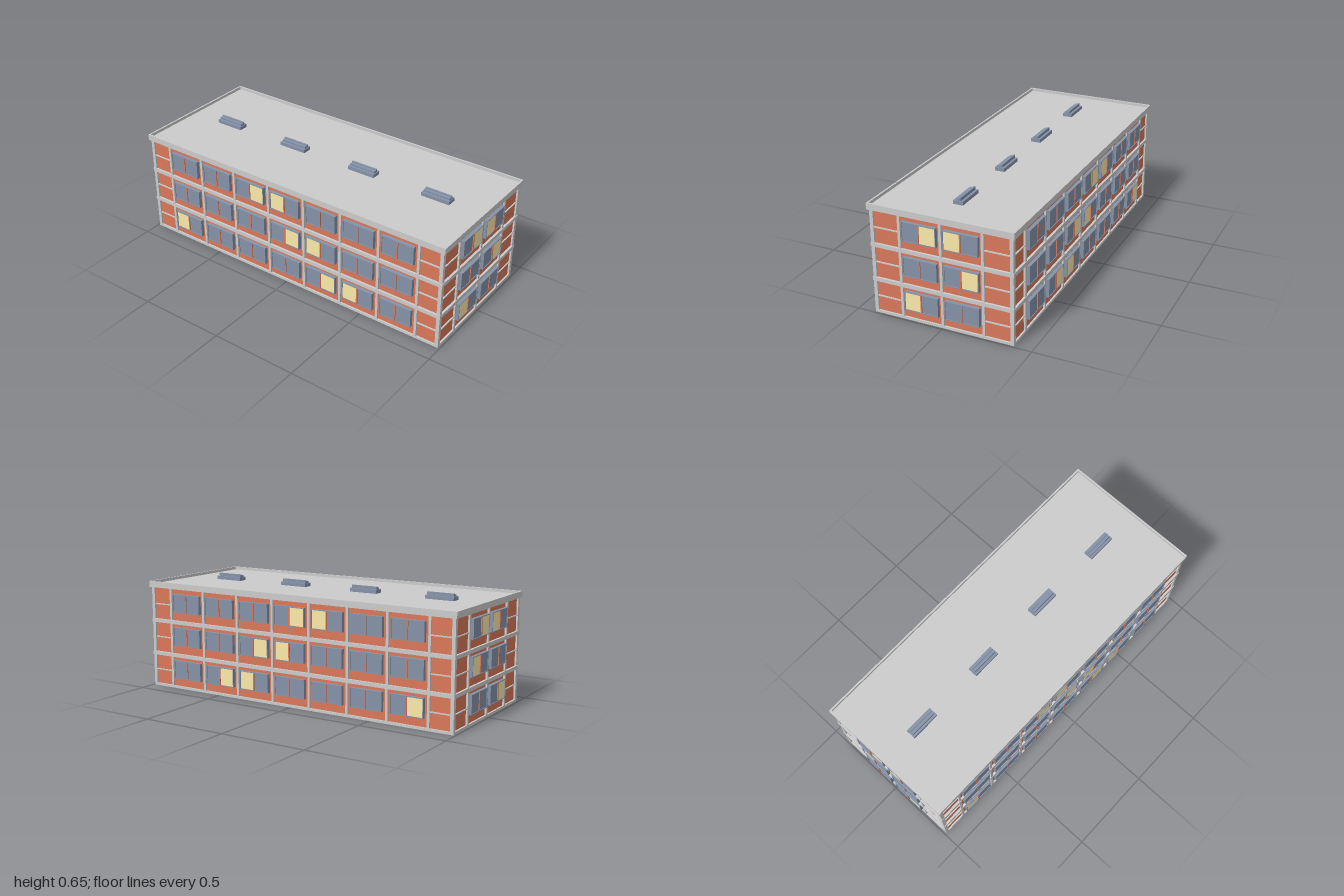
import * as THREE from 'three';

const mat = (color) => new THREE.MeshStandardMaterial({ color });
const MATS = {
  grey: mat(0xcccccc), brick: mat(0xd9785a), slate: mat(0x8592a8), lit: mat(0xfbeaa8),
};
const HALF_X = 0.99, HALF_Z = 0.4, INSET = 0.01;
const FLOOR_H = 0.197, WALL_TOP = 0.6, WIN_W = 0.194, WIN_H = 0.107;

function box(parent, name, material, w, h, d, x, y, z) {
  const mesh = new THREE.Mesh(new THREE.BoxGeometry(w, h, d), MATS[material]);
  mesh.name = name;
  mesh.position.set(x, y, z);
  parent.add(mesh);
  return mesh;
}

// Rectangular ring of outer size w x h and rim t, extruded along +z
function ringGeometry(w, h, t, depth) {
  const rect = (P, a, b) => new P([
    new THREE.Vector2(-a, -b), new THREE.Vector2(a, -b),
    new THREE.Vector2(a, b), new THREE.Vector2(-a, b),
  ]);
  const shape = rect(THREE.Shape, w / 2, h / 2);
  shape.holes.push(rect(THREE.Path, w / 2 - t, h / 2 - t));
  return new THREE.ExtrudeGeometry(shape, { depth, bevelEnabled: false });
}
const frameGeo = ringGeometry(WIN_W, WIN_H, 0.004, 0.02);

// Double window; lit is 'L', 'R' or undefined
function makeWindow(lit) {
  const win = new THREE.Group();
  win.name = 'window';
  const frame = new THREE.Mesh(frameGeo, MATS.slate);
  frame.name = 'windowFrame';
  frame.position.z = -INSET;
  win.add(frame);
  for (const [side, s] of [['L', -1], ['R', 1]])
    box(win, 'windowPane', lit === side ? 'lit' : 'slate',
      WIN_W / 2 - 0.004, WIN_H - 0.006, 0.016, s * WIN_W / 4, 0, -0.002);
  box(win, 'windowMullion', 'brick', 0.007, WIN_H - 0.006, 0.021, 0, 0, 0.0005);
  return win;
}

// One side of the building, facing +z; lit maps 'floor,bay' to the lit pane
function makeFacade(name, half, dist, bays, bayW, lit, mirror) {
  const g = new THREE.Group();
  g.name = name;
  const edge = bays * bayW / 2;

  // Pilasters between bays and at the corners
  const bars = [-half + 0.0075, half - 0.0075];
  for (let i = 0; i <= bays; i++) bars.push(-edge + i * bayW);
  for (const u of bars)
    box(g, 'pilaster', 'grey', 0.015, WALL_TOP, 0.02, u, WALL_TOP / 2, dist - 0.01);

  // Plinth and floor bands
  box(g, 'plinth', 'grey', half * 2, 0.014, 0.02, 0, 0.007, dist - 0.01);
  for (let i = 1; i < 3; i++)
    box(g, 'floorBand', 'grey', half * 2 + 0.006, 0.021, 0.023, 0, i * FLOOR_H + 0.001, dist - 0.0085);

  for (let f = 0; f < 3; f++) {
    // Thin ledges in the windowless end bays
    for (const s of [-1, 1])
      box(g, 'ledge', 'grey', half - edge, 0.006, 0.015, s * (half + edge) / 2, f * FLOOR_H + 0.1, dist - 0.0105);

    for (let b = 0; b < bays; b++) {
      const col = mirror ? bays - 1 - b : b;
      let pane = lit[`${f},${col}`];
      if (pane && mirror) pane = pane === 'L' ? 'R' : 'L';
      const win = makeWindow(pane);
      win.position.set(-edge + (b + 0.5) * bayW, f * FLOOR_H + 0.115, dist);
      g.add(win);
    }
  }
  return g;
}

export function createModel() {
  const model = new THREE.Group();
  model.name = 'building';

  // Brick core
  box(model, 'brickWalls', 'brick', 2 * (HALF_X - INSET), WALL_TOP, 2 * (HALF_Z - INSET), 0, WALL_TOP / 2, 0);

  // Facades: opposite sides mirror each other
  const litLong = { '2,2': 'R', '2,3': 'L', '1,3': 'R', '1,4': 'L', '0,0': 'L', '0,4': 'R', '0,5': 'L' };
  const litShort = { '2,0': 'R', '2,1': 'L', '1,1': 'R', '0,0': 'L' };
  for (const mirror of [false, true]) {
    const long = makeFacade(mirror ? 'backFacade' : 'frontFacade', HALF_X, HALF_Z, 7, 0.242, litLong, mirror);
    long.rotation.y = mirror ? Math.PI : 0;
    const short = makeFacade(mirror ? 'leftEndFacade' : 'rightEndFacade', HALF_Z, HALF_X, 2, 0.233, litShort, mirror);
    // The end seen on the +x side is unmirrored
    short.rotation.y = mirror ? -Math.PI / 2 : Math.PI / 2;
    short.name = mirror ? 'endFacadeRight' : 'endFacadeLeft';
    model.add(long, short);
  }

  // Flat roof with a raised rim
  box(model, 'roof', 'grey', 1.99, 0.018, 0.81, 0, 0.601, 0);
  const parapet = new THREE.Mesh(ringGeometry(2, 0.82, 0.01, 0.035), MATS.grey);
  parapet.name = 'parapet';
  parapet.rotation.x = -Math.PI / 2;
  parapet.position.y = 0.592;
  model.add(parapet);

  // Stepped roof vents
  for (let i = 0; i < 4; i++) {
    const vent = new THREE.Group();
    vent.name = 'roofVent';
    vent.position.set((i - 1.5) * 0.473, 0, 0);
    box(vent, 'ventBase', 'slate', 0.17, 0.022, 0.056, 0, 0.619, 0);
    box(vent, 'ventBody', 'slate', 0.16, 0.012, 0.028, 0, 0.635, 0);
    box(vent, 'ventRidge', 'slate', 0.16, 0.018, 0.01, 0, 0.638, -0.009);
    model.add(vent);
  }
  return model;
}
